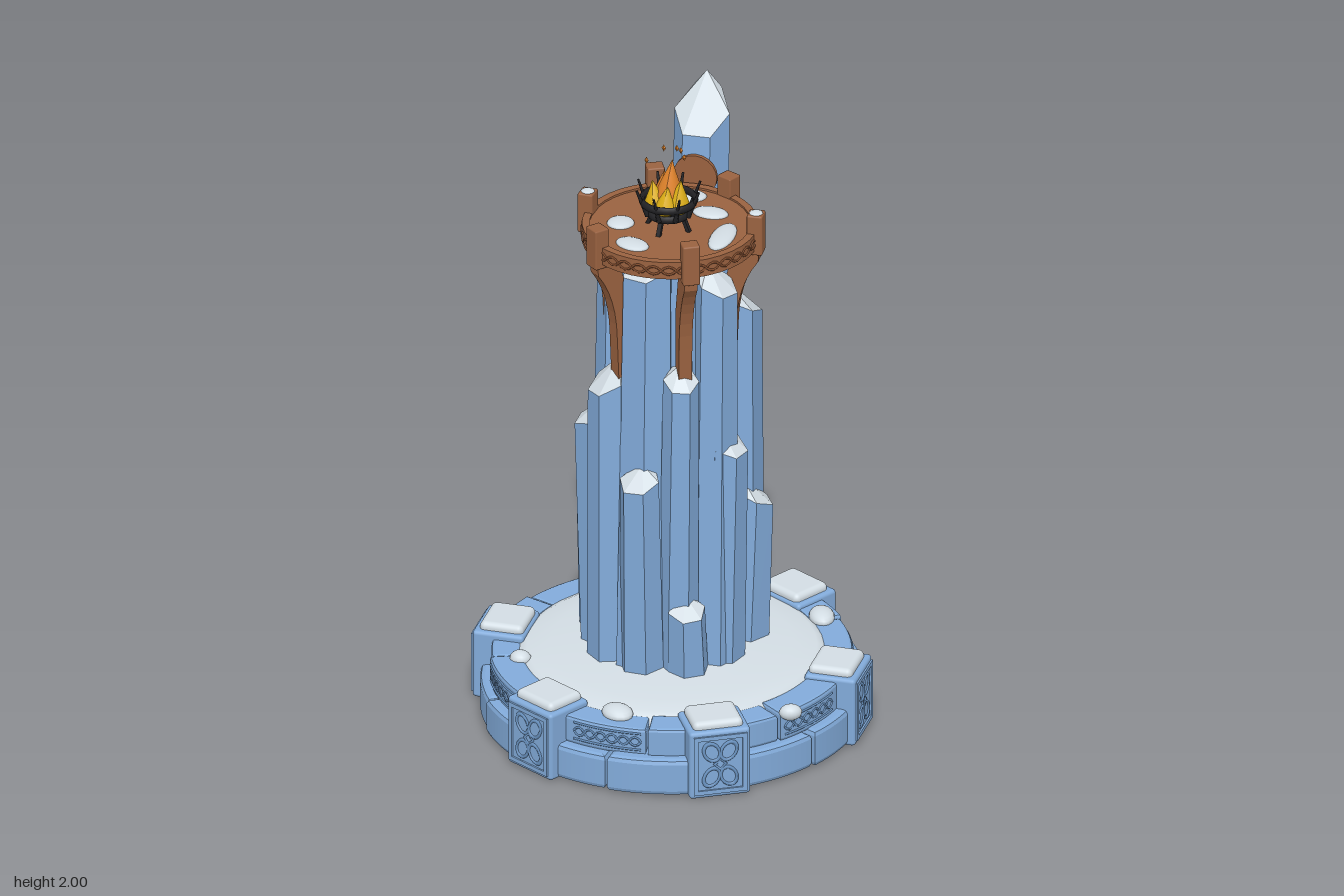
import * as THREE from 'three';
import { RoundedBoxGeometry } from 'three/addons/geometries/RoundedBoxGeometry.js';

const mat = (name, color, side = THREE.FrontSide) => {
  const m = new THREE.MeshStandardMaterial({ color, side });
  m.name = name;
  return m;
};
const ice = mat('ice blue', 0x82abda);
const carving = mat('carved blue', 0x6d97c6);
const snow = mat('snow', 0xd3dde4, THREE.DoubleSide);
const wood = mat('wood', 0x9a6240);
const woodDark = mat('carved wood', 0x854f30);
const iron = mat('iron', 0x222225);
const yellow = mat('flame yellow', 0xdcae14);
const orange = mat('flame orange', 0xe0832a);

function add(parent, name, geo, material, x = 0, y = 0, z = 0) {
  const m = new THREE.Mesh(geo, material);
  m.name = name;
  m.position.set(x, y, z);
  parent.add(m);
  return m;
}
function addGroup(parent, name, x = 0, y = 0, z = 0) {
  const g = new THREE.Group();
  g.name = name;
  g.position.set(x, y, z);
  parent.add(g);
  return g;
}
// Group whose local +z points outward at angle a (degrees, from +x towards +z)
function spoke(parent, name, a) {
  const g = addGroup(parent, name);
  g.rotation.y = Math.PI / 2 - a * Math.PI / 180;
  return g;
}
const rad = d => d * Math.PI / 180;

// Bevelled curved block between two radii and two angles
function arcBlock(r0, r1, a0, a1, y0, y1, b = 0.01) {
  const s = new THREE.Shape();
  s.absarc(0, 0, r1, -rad(a0), -rad(a1), true);
  s.absarc(0, 0, r0, -rad(a1), -rad(a0), false);
  const g = new THREE.ExtrudeGeometry(s, {
    depth: y1 - y0 - 2 * b, bevelThickness: b, bevelSize: b, bevelOffset: -b, bevelSegments: 2, curveSegments: 6,
  });
  return g.rotateX(-Math.PI / 2).translate(0, y0 + b, 0);
}
// Tube following an arc, with an optional vertical wave
function arcTube(r, a0, a1, y, amp, waves, thick) {
  const pts = [];
  for (let i = 0; i <= waves * 6; i++) {
    const t = i / (waves * 6), a = rad(a0 + (a1 - a0) * t);
    pts.push(new THREE.Vector3(Math.cos(a) * r, y + amp * Math.sin(t * waves * Math.PI * 2), Math.sin(a) * r));
  }
  return new THREE.TubeGeometry(new THREE.CatmullRomCurve3(pts), waves * 8, thick, 4);
}

// Six-sided ice column with a slanted snow top; shift moves the peak outward (+) or inward (-)
function crystal(parent, name, bx, bz, tx, tz, r, h, drop, shift, turn = 0) {
  const n = 6, out = Math.atan2(tz, tx), low = [], top = [];
  const peak = [tx + Math.cos(out) * shift, h, tz + Math.sin(out) * shift];
  for (let i = 0; i < n; i++) {
    const a = out + turn + (i + 0.5) / n * Math.PI * 2;
    const d = 0.5 - 0.5 * Math.cos(a - out) * Math.sign(shift);
    low.push([bx + Math.cos(a) * r * 1.12, 0.18, bz + Math.sin(a) * r * 1.12]);
    top.push([tx + Math.cos(a) * r, h - drop * (0.3 + 0.7 * d), tz + Math.sin(a) * r]);
  }
  const sides = [], cap = [];
  for (let i = 0; i < n; i++) {
    const j = (i + 1) % n;
    sides.push(low[i], top[i], low[j], top[i], top[j], low[j]);
    cap.push(top[i], peak, top[j]);
  }
  const build = list => {
    const g = new THREE.BufferGeometry();
    g.setAttribute('position', new THREE.Float32BufferAttribute(list.flat(), 3));
    g.computeVertexNormals();
    return g;
  };
  const g = addGroup(parent, name);
  add(g, 'column', build(sides), ice);
  add(g, 'snowTop', build(cap), snow);
}

function buildBase(root) {
  const base = addGroup(root, 'base', 0, 0, 0.005);
  const profile = [[0.5, 0.17], [0.485, 0.205], [0.45, 0.222], [0.38, 0.228], [0.3, 0.235], [0, 0.25]];
  add(base, 'snowGround', new THREE.LatheGeometry(profile.map(p => new THREE.Vector2(...p)), 40), snow);
  for (let k = 0; k < 6; k++) {
    const a = k * 60, cut = a + 30 + (k % 2 ? 4 : -3), split = a + (k % 2 ? 22 : 38);
    // Two courses of curved stones between the pillars
    add(base, 'lowerStone', arcBlock(0.47, 0.602, a + 6, cut - 0.4, 0.005, 0.128, 0.016), ice);
    add(base, 'lowerStone', arcBlock(0.47, 0.595, cut + 0.4, a + 54, 0.005, 0.122, 0.016), ice);
    add(base, 'upperStone', arcBlock(0.465, 0.567, a + 6, split - 0.4, 0.12, 0.218), ice);
    add(base, 'upperStone', arcBlock(0.465, 0.56, split + 0.4, a + 54, 0.12, 0.212), ice);
    const [c0, c1] = k % 2 ? [split + 2, a + 47] : [a + 13, split - 2], cr = k % 2 ? 0.56 : 0.567;
    for (const s of [-1, 1]) {
      add(base, 'stoneCarving', arcTube(cr, c0, c1, 0.168, 0.016 * s, 3, 0.004), carving);
      add(base, 'stoneCarvingEdge', arcTube(cr, c0, c1, 0.168 + 0.028 * s, 0, 1, 0.004), carving);
    }
    // Pillar with a framed knot on its outer face
    const p = spoke(base, 'pillar', a);
    add(p, 'pillarBlock', new RoundedBoxGeometry(0.195, 0.23, 0.165, 2, 0.012), ice, 0, 0.117, 0.535);
    add(p, 'pillarSnow', new RoundedBoxGeometry(0.16, 0.04, 0.14, 3, 0.018), snow, 0, 0.236, 0.53);
    const face = addGroup(p, 'knotPanel', 0, 0.117, 0.617);
    for (const s of [-1, 1]) {
      add(face, 'frameSide', new THREE.BoxGeometry(0.014, 0.2, 0.012), ice, s * 0.078, 0, 0);
      add(face, 'frameRail', new THREE.BoxGeometry(0.17, 0.014, 0.012), ice, 0, s * 0.093, 0);
      for (const t of [-1, 1]) {
        const loop = add(face, 'knotLoop', new THREE.TorusGeometry(0.024, 0.0055, 5, 16), carving, s * 0.027, t * 0.043, 0);
        loop.scale.y = 1.35;
        loop.rotation.z = -s * t * 0.5;
      }
    }
    add(face, 'knotCentre', new THREE.TorusGeometry(0.018, 0.0055, 5, 4), carving);
  }
  // Snow lumps resting on the stones
  for (const [x, z, sx, sz, t] of [[0.125, -0.495, 0.05, 0.042, 0], [0.39, -0.325, 0.04, 0.058, 0.4], [0.475, 0.325, 0.036, 0.028, 0.4],
    [-0.04, 0.475, 0.055, 0.045, -0.6], [-0.43, 0.205, 0.034, 0.032, 0]]) {
    const m = add(base, 'snowLump', new THREE.SphereGeometry(1, 16, 10), snow, x, 0.217, z);
    m.scale.set(sx, 0.026, sz);
    m.rotation.y = t;
  }
}

function buildTower(root) {
  const tower = addGroup(root, 'iceTower');
  add(tower, 'iceCore', new THREE.CylinderGeometry(0.155, 0.22, 1.45, 9).toNonIndexed(), ice, -0.02, 0.895, -0.04).geometry.computeVertexNormals();
  // base x, z, top x, z, radius, height, slant, peak shift
  const columns = [
    [-0.05, 0.15, -0.05, 0.10, 0.085, 1.64, 0.08, -0.03],
    [-0.18, 0.00, -0.185, -0.07, 0.075, 1.58, 0.12, -0.03],
    [0.15, 0.07, 0.155, 0.05, 0.068, 1.59, 0.09, -0.03],
    [0.16, -0.14, 0.155, -0.165, 0.085, 1.45, 0.13, -0.04],
    [-0.13, -0.19, -0.12, -0.2, 0.085, 1.49, 0.12, -0.04],
    [0.06, 0.15, 0.075, 0.165, 0.056, 1.28, 0.07, -0.02],
    [-0.16, 0.13, -0.165, 0.13, 0.068, 1.26, 0.11, -0.03],
    [0.17, 0.05, 0.19, 0.055, 0.067, 1.03, 0.08, -0.02],
    [-0.21, 0.03, -0.24, 0.03, 0.066, 1.06, 0.08, -0.02],
    [-0.045, 0.185, -0.045, 0.215, 0.064, 0.94, 0.07, -0.02],
    [0.195, -0.12, 0.215, -0.13, 0.072, 0.78, 0.1, -0.03],
    [-0.24, -0.05, -0.265, -0.08, 0.064, 0.72, 0.13, -0.03],
    [0.1, 0.17, 0.1, 0.19, 0.06, 0.49, 0.06, -0.02],
    [0.02, -0.17, 0.02, -0.17, 0.09, 1.38, 0.1, -0.03],
  ];
  columns.forEach((c, i) => crystal(tower, 'iceCrystal', ...c, (i % 3 - 1) * 0.14));
  crystal(tower, 'tallCrystal', -0.01, -0.27, -0.015, -0.387, 0.088, 2, 0.17, 0.066);
}

function buildPlatform(root) {
  const deck = addGroup(root, 'platform', -0.01, 0, -0.01);
  add(deck, 'deck', new THREE.CylinderGeometry(0.262, 0.262, 0.025, 36), wood, 0, 1.669, 0);
  const rim = [[0.25, 1.63], [0.274, 1.63], [0.274, 1.688], [0.25, 1.688], [0.25, 1.63]];
  const rimGeo = new THREE.LatheGeometry(rim.map(p => new THREE.Vector2(...p)), 36).toNonIndexed();
  rimGeo.computeVertexNormals();
  add(deck, 'rim', rimGeo, wood);
  for (const s of [-1, 1]) add(deck, 'rimCarving', arcTube(0.274, 0, 360, 1.659, 0.014 * s, 18, 0.004), woodDark);

  // Posts with curved braces running down into the ice
  const b = new THREE.Shape();
  b.moveTo(0.285, 1.64);
  b.lineTo(0.283, 1.59);
  b.quadraticCurveTo(0.215, 1.5, 0.212, 1.35);
  b.lineTo(0.2, 1.06);
  b.lineTo(0.16, 1.06);
  b.lineTo(0.16, 1.45);
  b.lineTo(0.21, 1.64);
  const brace = new THREE.ExtrudeGeometry(b, { depth: 0.042, bevelEnabled: false, curveSegments: 6 })
    .translate(0, 0, -0.021).rotateY(-Math.PI / 2);
  for (const a of [-4, 61, 130, 184, 244, 296]) {
    const s = spoke(deck, 'post', a);
    add(s, 'postBlock', new RoundedBoxGeometry(0.055, 0.135, 0.05, 1, 0.005), wood, 0, 1.682, 0.272);
    add(s, 'brace', brace, wood);
    if (a === -4 || a === 184) {
      add(s, 'postSnow', new THREE.SphereGeometry(0.022, 12, 8), snow, 0, 1.748, 0.272).scale.y = 0.4;
    }
  }
  // Rounded board set against the tall crystal
  const board = new THREE.CylinderGeometry(0.07, 0.07, 0.012, 20).rotateX(Math.PI / 2);
  add(deck, 'backBoard', board, wood, 0, 1.71, -0.287);

  // Snow patches on the deck
  for (const [x, z, sx, sz, t] of [[-0.01, -0.19, 0.072, 0.046, 0.3], [0.1, -0.105, 0.058, 0.04, -0.1], [0.18, 0.04, 0.038, 0.094, 0],
    [-0.15, 0.035, 0.043, 0.045, 0], [-0.075, 0.165, 0.058, 0.04, -0.4]]) {
    const m = add(deck, 'deckSnow', new THREE.SphereGeometry(1, 20, 8), snow, x, 1.682, z);
    m.scale.set(sx, 0.013, sz);
    m.rotation.y = t;
  }
}

// Teardrop flame tongue of unit height, bent sideways towards its tip
function tongue(bend) {
  const pts = [[0, 0], [0.28, 0.08], [0.36, 0.25], [0.26, 0.5], [0.1, 0.8], [0, 1]].map(p => new THREE.Vector2(...p));
  const g = new THREE.LatheGeometry(new THREE.SplineCurve(pts).getPoints(12), 10);
  const p = g.attributes.position;
  for (let i = 0; i < p.count; i++) p.setX(i, Math.abs(p.getX(i)) < 1e-6 ? bend * p.getY(i) ** 2 : p.getX(i) + bend * p.getY(i) ** 2);
  g.computeVertexNormals();
  return g;
}

function buildBrazier(root) {
  const br = addGroup(root, 'brazier', -0.01, 0, 0.01);
  for (const [r, y] of [[0.084, 1.778], [0.06, 1.735]]) {
    add(br, 'ironRing', new THREE.TorusGeometry(r, 0.009, 6, 28).rotateX(Math.PI / 2), iron, 0, y, 0).scale.y = 1.4;
  }
  add(br, 'ironBowl', new THREE.CylinderGeometry(0.062, 0.035, 0.025, 16), iron, 0, 1.73, 0);
  for (let k = 0; k < 8; k++) {
    const s = spoke(br, 'ironStrut', k * 45 + 10);
    const spike = add(s, 'spike', new THREE.CylinderGeometry(0.004, 0.009, 0.1, 4), iron, 0, 1.778, 0.086);
    spike.rotation.x = 0.38;
    if (k % 2) continue;
    const leg = add(s, 'leg', new THREE.BoxGeometry(0.014, 0.065, 0.012), iron, 0, 1.71, 0.058);
    leg.rotation.x = -0.4;
  }
  // Flames: yellow outer tongues, orange core
  const fire = addGroup(br, 'fire');
  for (const [x, z, h, w, bend, m] of [[0, 0, 0.18, 0.13, 0.1, orange], [-0.035, 0.02, 0.11, 0.1, -0.12, yellow], [0.035, 0.015, 0.12, 0.1, 0.1, yellow],
    [0, 0.035, 0.1, 0.1, 0.08, yellow], [0.005, -0.035, 0.12, 0.1, -0.1, yellow], [-0.03, -0.02, 0.13, 0.08, 0.15, orange]]) {
    add(fire, 'flame', tongue(bend), m, x, 1.74, z).scale.set(w, h, w);
  }
  // Embers above the fire
  for (const [x, y, z] of [[-0.065, 1.915, 0.02], [-0.015, 1.955, 0], [0.03, 1.965, 0.01], [0.045, 1.92, -0.02], [0.03, 1.935, -0.035]]) {
    add(fire, 'ember', new THREE.OctahedronGeometry(0.007), orange, x, y, z).scale.y = 1.7;
  }
}

export function createModel() {
  const root = new THREE.Group();
  root.name = 'iceBeacon';
  buildBase(root);
  buildTower(root);
  buildPlatform(root);
  buildBrazier(root);
  return root;
}
